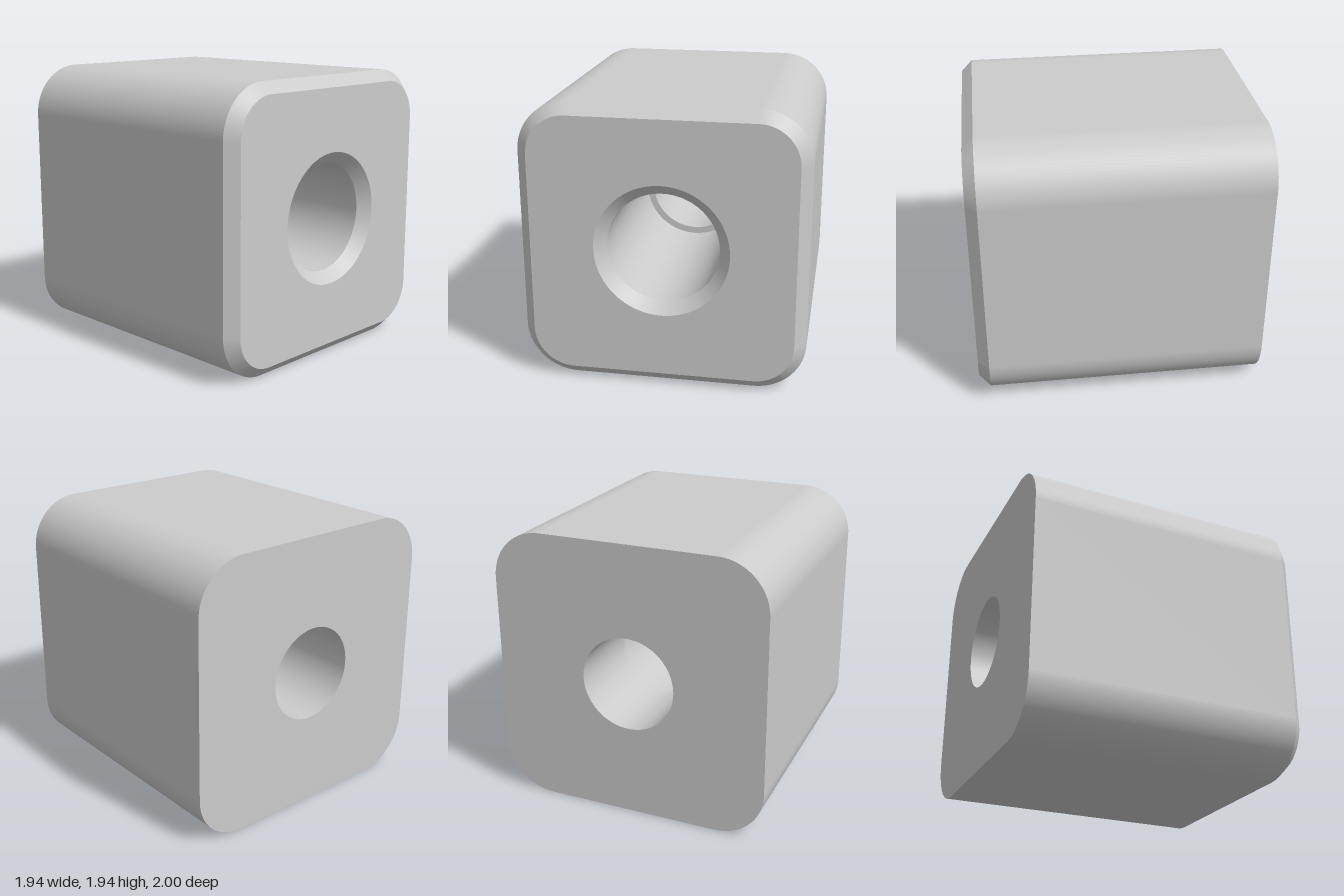
import * as THREE from 'three';

const STEPS = 24; // segments per quarter turn

// Rounded-square loop at depth z; a circle is the case half === r
function loop([half, r, z]) {
  const points = [];
  for (let corner = 0; corner < 4; corner++) {
    const mid = (corner + 0.5) * Math.PI / 2;
    const cx = Math.sign(Math.cos(mid)) * (half - r);
    const cy = Math.sign(Math.sin(mid)) * (half - r);
    for (let i = 0; i <= STEPS; i++) {
      const a = (corner + i / STEPS) * Math.PI / 2;
      points.push({ x: cx + r * Math.cos(a), y: cy + r * Math.sin(a), z, a });
    }
  }
  return points;
}

// Surface between two loops, with normals perpendicular to its slope
function band(from, to) {
  const dz = to[2] - from[2], dr = to[0] - from[0];
  const position = [], normal = [], index = [];
  const n = 4 * (STEPS + 1);
  const direction = new THREE.Vector3();
  for (const p of [...loop(from), ...loop(to)]) {
    position.push(p.x, p.y, p.z);
    direction.set(Math.cos(p.a) * dz, Math.sin(p.a) * dz, -dr).normalize();
    normal.push(direction.x, direction.y, direction.z);
  }
  for (let i = 0; i < n; i++) {
    const j = (i + 1) % n;
    index.push(i, j, n + j, i, n + j, n + i);
  }
  const geometry = new THREE.BufferGeometry();
  geometry.setAttribute('position', new THREE.Float32BufferAttribute(position, 3));
  geometry.setAttribute('normal', new THREE.Float32BufferAttribute(normal, 3));
  geometry.setIndex(index);
  return geometry;
}

export function createModel() {
  const group = new THREE.Group();
  group.name = 'boredBlock';
  const material = new THREE.MeshStandardMaterial({ color: 0xcccccc });

  // Closed section: [half width, corner radius, z], each with the surface leading on from it
  const section = [
    ['backFace', [0.33, 0.33, -1]],
    ['outerWall', [0.97, 0.348, -1]],
    ['outerChamfer', [0.97, 0.348, 0.923]],
    ['frontFace', [0.893, 0.271, 1]],
    ['holeChamfer', [0.457, 0.457, 1]],
    ['wideBore', [0.38, 0.38, 0.923]],
    ['boreStep', [0.38, 0.38, -0.365]],
    ['narrowBore', [0.33, 0.33, -0.365]],
  ];
  section.forEach(([name, from], i) => {
    const to = section[(i + 1) % section.length][1];
    const mesh = new THREE.Mesh(band(from, to), material);
    mesh.name = name;
    mesh.position.y = 0.97;
    group.add(mesh);
  });
  return group;
}
